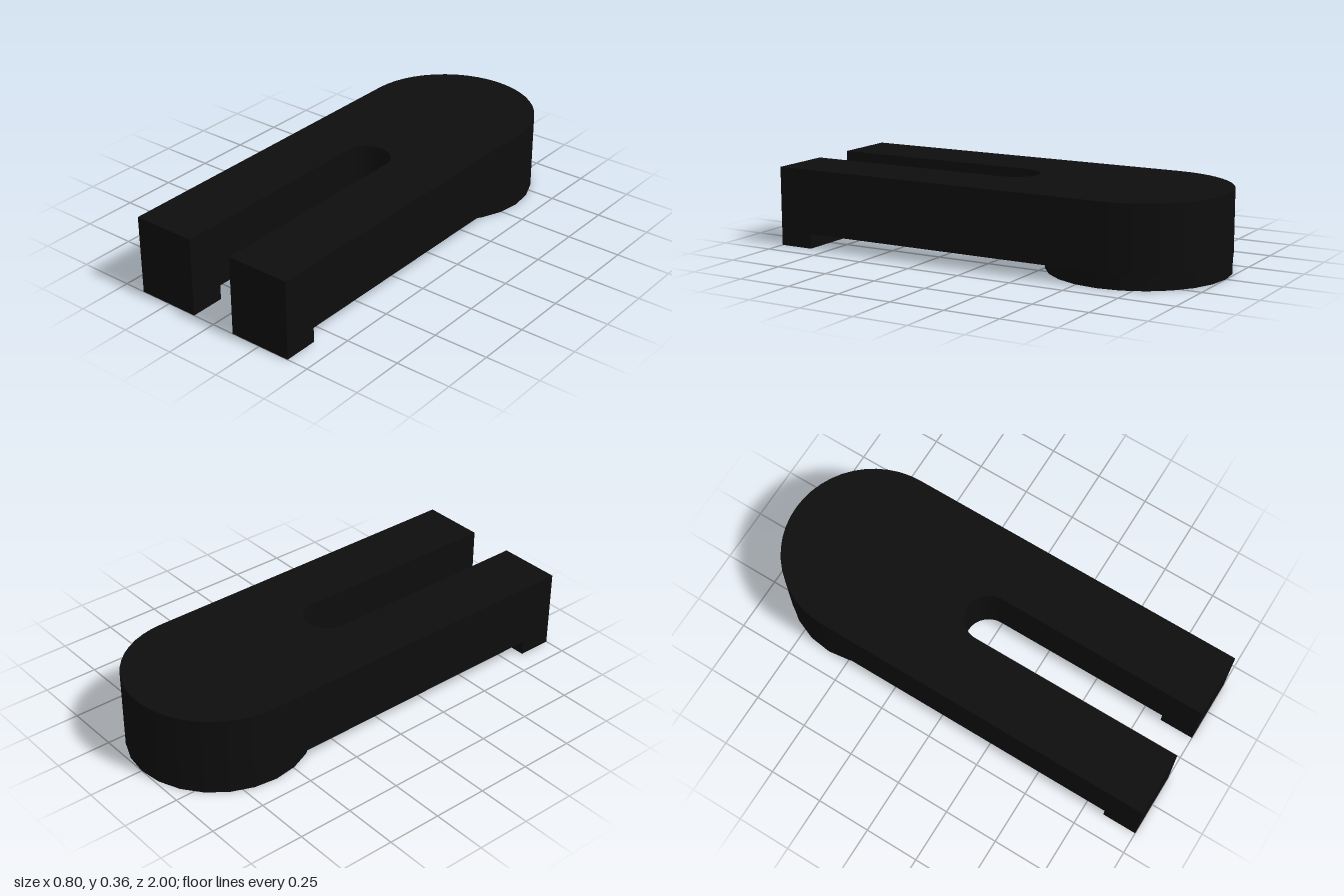
import * as THREE from 'three';

const HALF_WIDTH = 0.4, SLOT = 0.107, TOP = 0.36, UNDERSIDE = 0.067;

// Extrudes a plan shape (shape y points to the back, -z) from height y0 to y1
function slab(name, shape, y0, y1, material) {
  const geometry = new THREE.ExtrudeGeometry(shape, {
    depth: y1 - y0, bevelEnabled: false, curveSegments: 12,
  });
  geometry.rotateX(-Math.PI / 2);
  geometry.translate(0, y0, 0);
  const mesh = new THREE.Mesh(geometry, material);
  mesh.name = name;
  return mesh;
}

export function createModel() {
  const group = new THREE.Group();
  group.name = 'slottedClamp';
  const black = new THREE.MeshStandardMaterial({ color: 0x0d0d0d, flatShading: true });
  black.name = 'black';

  // Forked body: rounded back, open slot at the front
  const plan = new THREE.Shape();
  plan.moveTo(HALF_WIDTH, -1);
  plan.lineTo(HALF_WIDTH, 0.6);
  plan.absarc(0, 0.6, HALF_WIDTH, 0, Math.PI, false);
  plan.lineTo(-HALF_WIDTH, -1);
  plan.lineTo(-SLOT, -1);
  plan.lineTo(-SLOT, -0.005);
  plan.absarc(0, -0.005, SLOT, Math.PI, 0, true);
  plan.lineTo(SLOT, -1);
  plan.closePath();
  group.add(slab('forkedBody', plan, UNDERSIDE, TOP, black));

  // Round foot under the back end
  const disc = new THREE.Shape();
  for (let i = 0; i < 24; i++) {
    const a = (i / 24) * Math.PI * 2;
    const x = HALF_WIDTH * Math.cos(a), y = 0.6 + HALF_WIDTH * Math.sin(a);
    if (i === 0) disc.moveTo(x, y);
    else disc.lineTo(x, y);
  }
  disc.closePath();
  group.add(slab('roundFoot', disc, 0, UNDERSIDE, black));

  // Small lip under the tip of each prong
  for (const side of [-1, 1]) {
    const lip = new THREE.Mesh(new THREE.BoxGeometry(HALF_WIDTH - SLOT, UNDERSIDE, 0.16), black);
    lip.name = side > 0 ? 'leftProngLip' : 'rightProngLip';
    lip.position.set(side * (HALF_WIDTH + SLOT) / 2, UNDERSIDE / 2, 0.92);
    group.add(lip);
  }
  return group;
}
